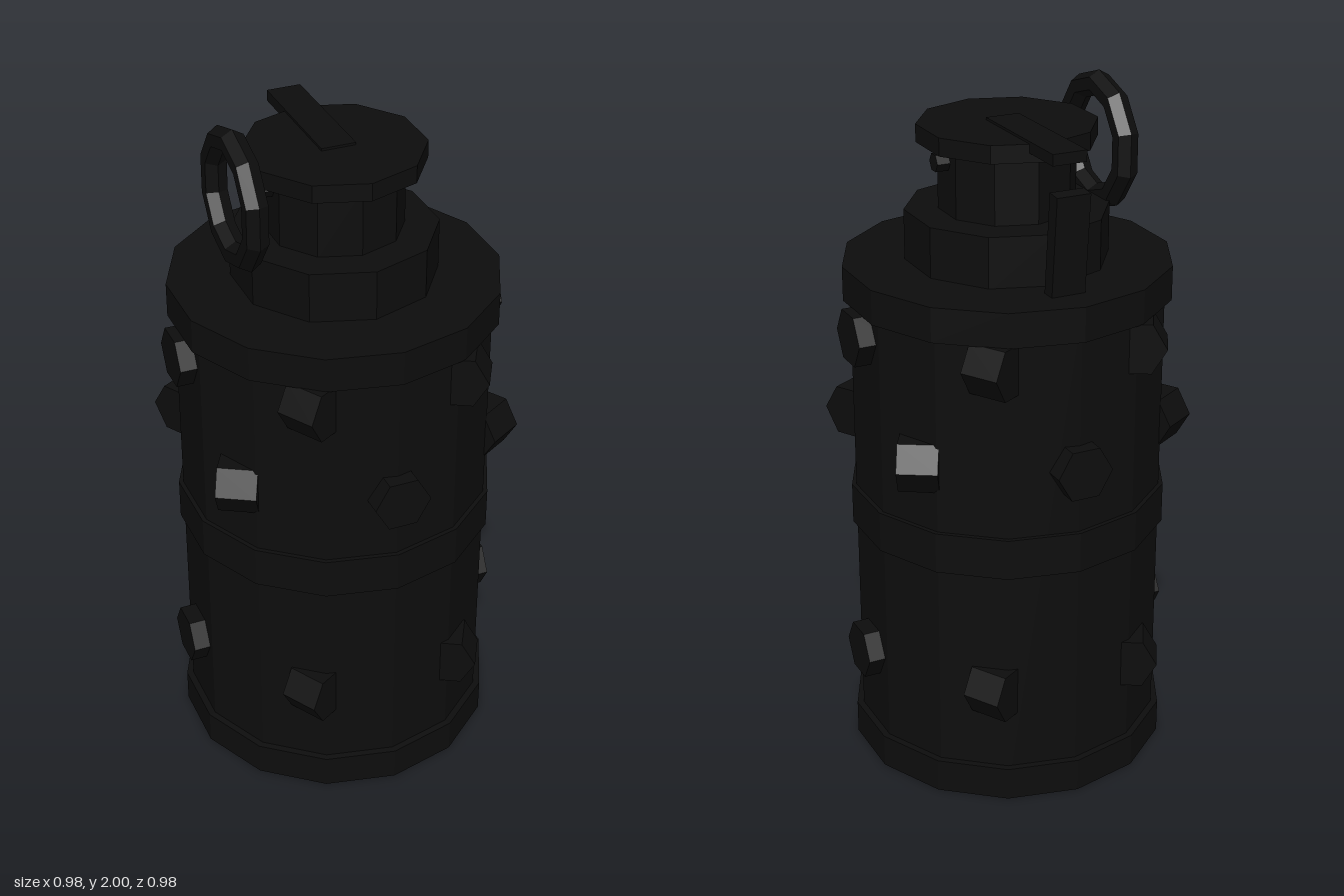
import * as THREE from 'three';

export function createModel() {
  const group = new THREE.Group();
  const black = new THREE.MeshStandardMaterial({ color: 0x0d0d0d, flatShading: true });
  black.name = 'matte black';

  const add = (name, geometry, x = 0, y = 0, z = 0) => {
    const mesh = new THREE.Mesh(geometry, black);
    mesh.name = name;
    mesh.position.set(x, y, z);
    group.add(mesh);
    return mesh;
  };
  // upright faceted drum between two heights
  const drum = (name, radius, y0, y1, sides) =>
    add(name, new THREE.CylinderGeometry(radius, radius, y1 - y0, sides), 0, (y0 + y1) / 2, 0);

  // canister body with its bands
  drum('body', 0.45, 0.02, 1.5, 14);
  drum('bottomBand', 0.47, 0, 0.1, 14);
  drum('middleBand', 0.463, 0.72, 0.84, 14);
  drum('topBand', 0.47, 1.41, 1.51, 14);

  // stepped neck and cap
  drum('shoulder', 0.29, 1.5, 1.655, 10);
  drum('neck', 0.194, 1.65, 1.85, 10);
  drum('cap', 0.253, 1.845, 1.896, 10);

  // three staggered rows of hexagonal studs
  const studGeometry = new THREE.CylinderGeometry(0.083, 0.083, 0.115, 6).rotateZ(-Math.PI / 2);
  [[0.35, 0], [1.03, Math.PI / 6], [1.34, 0]].forEach(([y, offset]) => {
    for (let i = 0; i < 6; i++) {
      const a = offset + (i * Math.PI) / 3;
      add('stud', studGeometry, 0.43 * Math.cos(a), y, 0.43 * Math.sin(a)).rotation.y = a;
    }
  });

  // cross pin through the neck and its ring
  add('pin', new THREE.CylinderGeometry(0.027, 0.027, 0.445, 6).rotateZ(Math.PI / 2), 0, 1.805, 0);
  add('ring', new THREE.TorusGeometry(0.164, 0.036, 6, 10).rotateZ(Math.PI / 2).rotateY(Math.PI / 2),
    -0.295, 1.8, 0.02);

  // lever: flat top plate and tilted rear strip
  add('leverTop', new THREE.BoxGeometry(0.1, 0.032, 0.4), 0, 1.887, -0.17);
  add('leverStrip', new THREE.BoxGeometry(0.1, 0.3, 0.043), 0, 1.645, -0.362).rotation.x = -0.085;

  return group;
}
